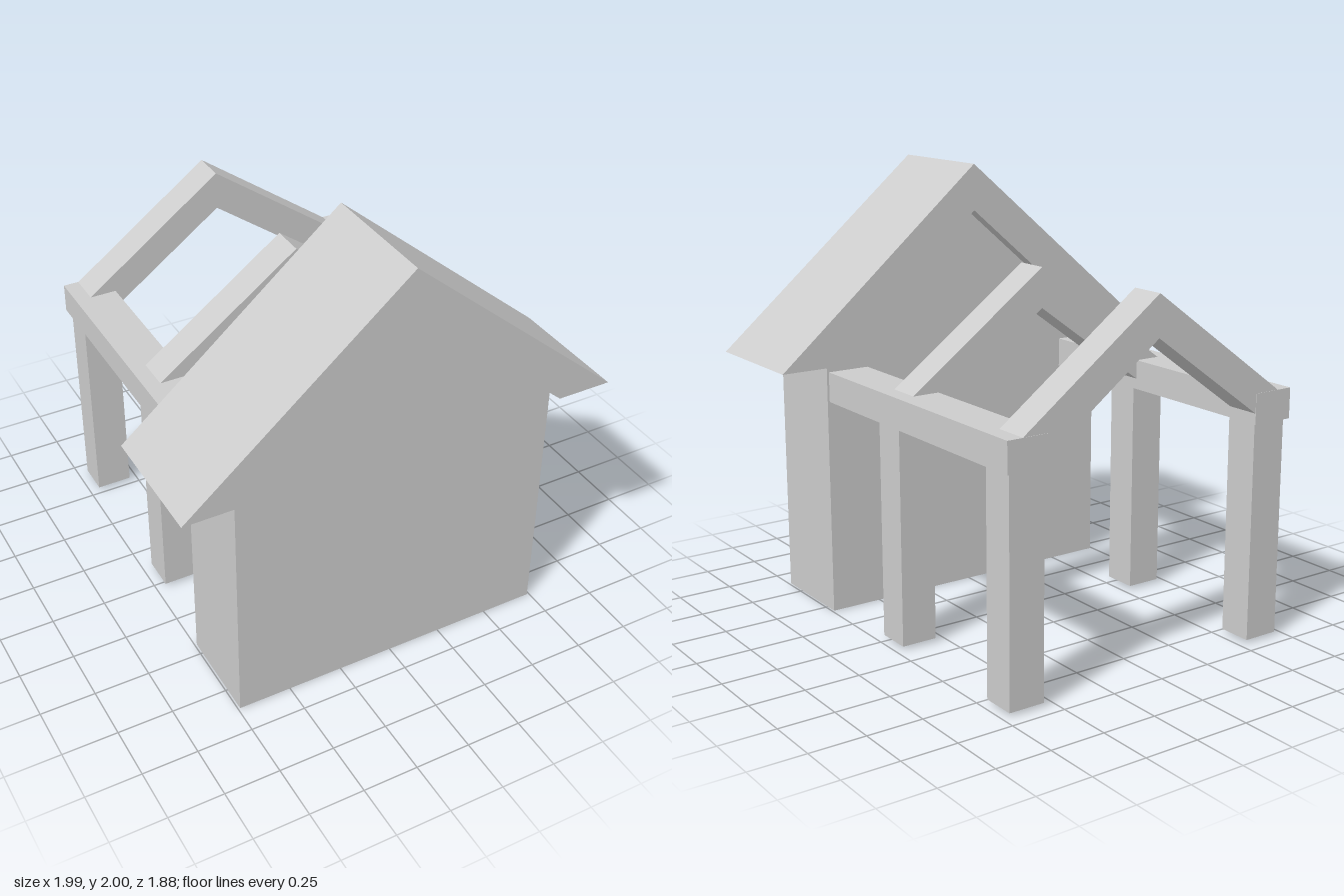
import * as THREE from 'three';

const material = new THREE.MeshStandardMaterial({ color: 0xcccccc, flatShading: true });

function addMesh(parent, name, geometry) {
  const mesh = new THREE.Mesh(geometry, material);
  mesh.name = name;
  parent.add(mesh);
  return mesh;
}

// Outline in the x-y plane, extruded from z0 to z1
function addProfile(parent, name, points, z0, z1) {
  const shape = new THREE.Shape(points.map(([x, y]) => new THREE.Vector2(x, y)));
  const geometry = new THREE.ExtrudeGeometry(shape, { depth: z1 - z0, bevelEnabled: false });
  geometry.translate(0, 0, z0);
  return addMesh(parent, name, geometry);
}

// Box given by its limits on each axis
function addBox(parent, name, [x0, x1], [y0, y1], [z0, z1]) {
  const geometry = new THREE.BoxGeometry(x1 - x0, y1 - y0, z1 - z0);
  geometry.translate((x0 + x1) / 2, (y0 + y1) / 2, (z0 + z1) / 2);
  return addMesh(parent, name, geometry);
}

export function createModel() {
  const model = new THREE.Group();
  model.name = 'gabledHouseWithPergola';

  // Gabled house block
  addProfile(model, 'houseBody',
    [[-0.74, 0], [0.74, 0], [0.74, 1.16], [0, 1.79], [-0.74, 1.16]], 0.44, 0.87);

  // Roof with overhanging, flat-cut eaves
  addProfile(model, 'roof',
    [[-0.995, 1.157], [-0.74, 1.157], [0, 1.79], [0.74, 1.157], [0.99, 1.157], [0, 2]], 0.37, 0.94);

  // Pergola behind the house
  const pergola = new THREE.Group();
  pergola.name = 'pergola';
  model.add(pergola);

  addBox(pergola, 'leftBeam', [0.535, 0.73], [0.985, 1.12], [-0.94, 0.44]);
  addBox(pergola, 'rightBeam', [-0.73, -0.535], [0.985, 1.12], [-0.94, 0.44]);

  // Posts under the beams
  for (const [place, z] of [['front', [-0.13, 0.03]], ['back', [-0.93, -0.775]]]) {
    addBox(pergola, place + 'LeftPost', [0.55, 0.715], [0.015, 0.99], z);
    addBox(pergola, place + 'RightPost', [-0.705, -0.54], [0.015, 0.99], z);
  }

  // Rafter pairs, cut square to their slope inside the beams
  const rafter = [[-0.7, 1.09], [-0.6, 0.987], [0, 1.42], [0.588, 0.987], [0.675, 1.107], [0, 1.6]];
  addProfile(pergola, 'frontRafters', rafter, -0.155, 0);
  addProfile(pergola, 'backRafters', rafter, -0.938, -0.783);

  return model;
}
